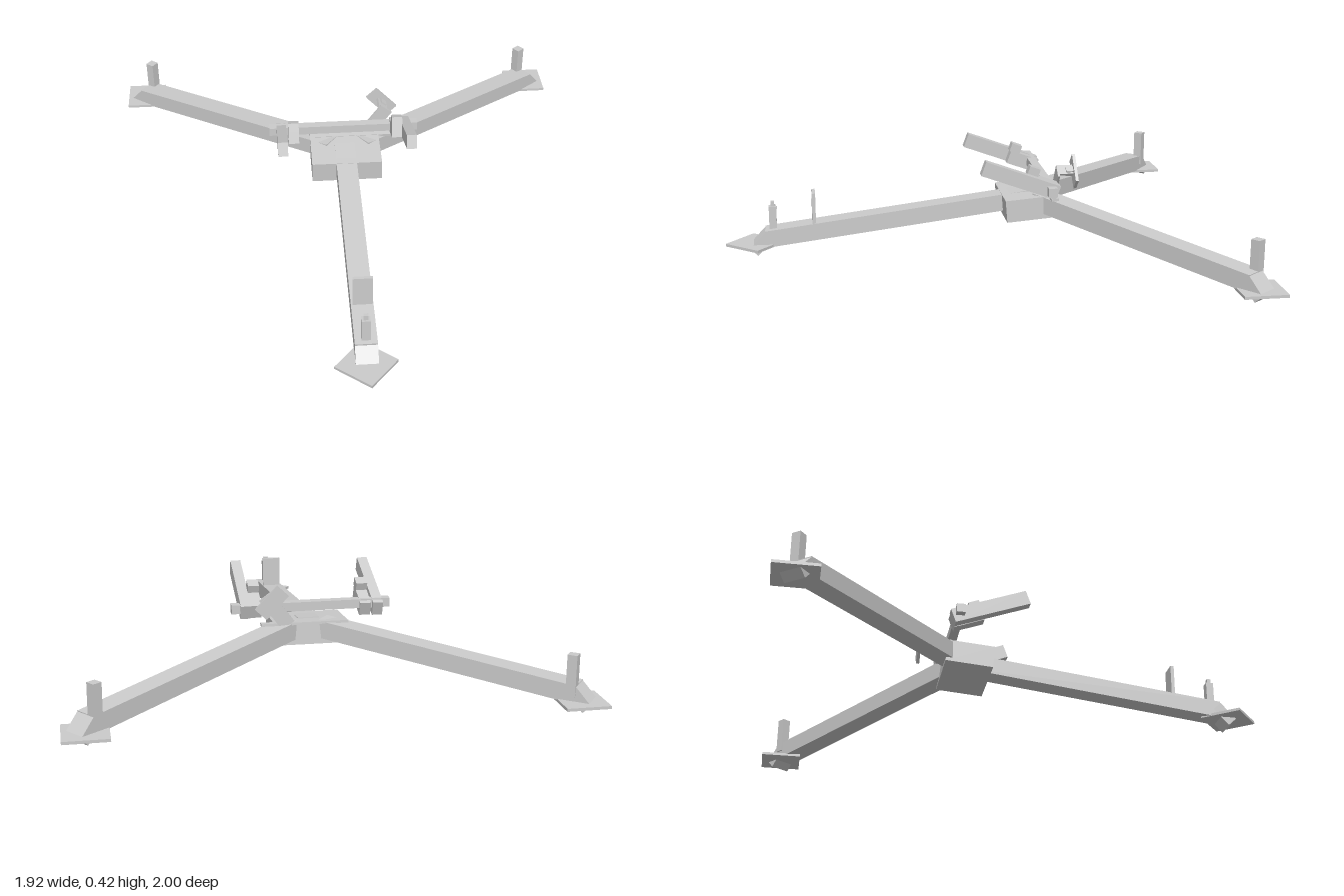
import * as THREE from 'three';

export function createModel() {
  const model = new THREE.Group();
  const material = new THREE.MeshStandardMaterial({ color: 0xcccccc, flatShading: true });

  // Box of a given size, centred on pos, with an optional Euler rotation
  function box(name, size, pos, rot = [0, 0, 0], parent = model) {
    const mesh = new THREE.Mesh(new THREE.BoxGeometry(...size), material);
    mesh.name = name;
    mesh.position.set(...pos);
    mesh.rotation.set(...rot);
    parent.add(mesh);
    return mesh;
  }

  // Rectangular bar running between two points
  function beam(name, a, b, width, height) {
    const from = new THREE.Vector3(...a), to = new THREE.Vector3(...b);
    const mid = from.clone().add(to).multiplyScalar(0.5);
    const mesh = box(name, [width, height, from.distanceTo(to)], mid.toArray());
    mesh.lookAt(to);
    return mesh;
  }

  // Slanted block at the end of a leg, facing along the yaw direction
  function ankle(name, x, y, z, yaw) {
    const pivot = new THREE.Group();
    pivot.name = name;
    pivot.position.set(x, y, z);
    pivot.rotation.y = yaw;
    box(name + 'Block', [0.085, 0.043, 0.09], [0, 0, 0], [0.82, 0, 0], pivot);
    model.add(pivot);
  }

  // Central hub, tipped slightly forward
  box('hub', [0.29, 0.09, 0.19], [-0.01, 0.187, -0.215], [0.08, 0, 0]);
  box('hubRearPlate', [0.34, 0.01, 0.03], [0.015, 0.236, -0.308], [0.08, 0, 0]);

  // Front leg with foot and two posts
  beam('frontLeg', [-0.012, 0.205, -0.25], [-0.012, 0.072, 0.835], 0.085, 0.068);
  ankle('frontAnkle', -0.012, 0.053, 0.855, 0);
  box('frontFoot', [0.168, 0.011, 0.168], [-0.015, 0.045, 0.88], [0, -0.7, 0]);
  box('frontPost', [0.034, 0.12, 0.03], [-0.012, 0.14, 0.807]);
  box('frontPostCap', [0.018, 0.02, 0.015], [-0.012, 0.21, 0.807]);
  box('frontTab', [0.075, 0.15, 0.014], [-0.01, 0.18, 0.643]);

  // Mirrored rear legs, feet and posts
  for (const s of [-1, 1]) {
    const side = s > 0 ? 'Left' : 'Right';
    const yaw = s * 2.23;
    beam('rearLeg' + side, [s * 0.06, 0.206, -0.265], [s * 0.872, 0.107, -0.9], 0.085, 0.068);
    ankle('rearAnkle' + side, s * 0.885, 0.092, -0.91, yaw);
    box('rearFoot' + side, [0.165, 0.011, 0.165], [s * 0.878, 0.077, -0.918]);
    box('rearPost' + side, [0.036, 0.15, 0.036], [s * 0.842, 0.18, -0.915], [0, yaw, 0]);
  }

  // Crossbar above the hub
  box('crossbar', [0.62, 0.035, 0.035], [-0.015, 0.297, -0.278]);

  // Tilted arms carried by the crossbar, each with an inner clamp
  for (const [side, armX, clampX, lift] of [['Right', -0.275, -0.226, -0.01], ['Left', 0.242, 0.202, 0]]) {
    const arm = new THREE.Group();
    arm.name = 'arm' + side;
    arm.position.set(0, 0.34 + lift, -0.157);
    arm.rotation.x = -0.35;
    box('armBar', [0.04, 0.058, 0.314], [armX, 0, 0], [0, 0, 0], arm);
    box('armClamp', [0.043, 0.056, 0.125], [clampX, 0, -0.092], [0, 0, 0], arm);
    box('armClampBlock', [0.043, 0.035, 0.044], [clampX, 0.042, -0.045], [0, 0, 0], arm);
    model.add(arm);
  }

  // Leaning bracket behind the hub: stalk, link and paddle
  box('bracketStalk', [0.058, 0.15, 0.008], [0.125, 0.292, -0.32], [0, 0, -0.64]);
  box('bracketLink', [0.045, 0.01, 0.07], [0.155, 0.35, -0.353], [0, 0, -0.64]);
  box('bracketStud', [0.025, 0.03, 0.03], [0.155, 0.345, -0.368], [0, 0, -0.64]);
  box('bracketPaddle', [0.06, 0.123, 0.012], [0.155, 0.345, -0.388], [0, 0, 0.76]);

  return model;
}
